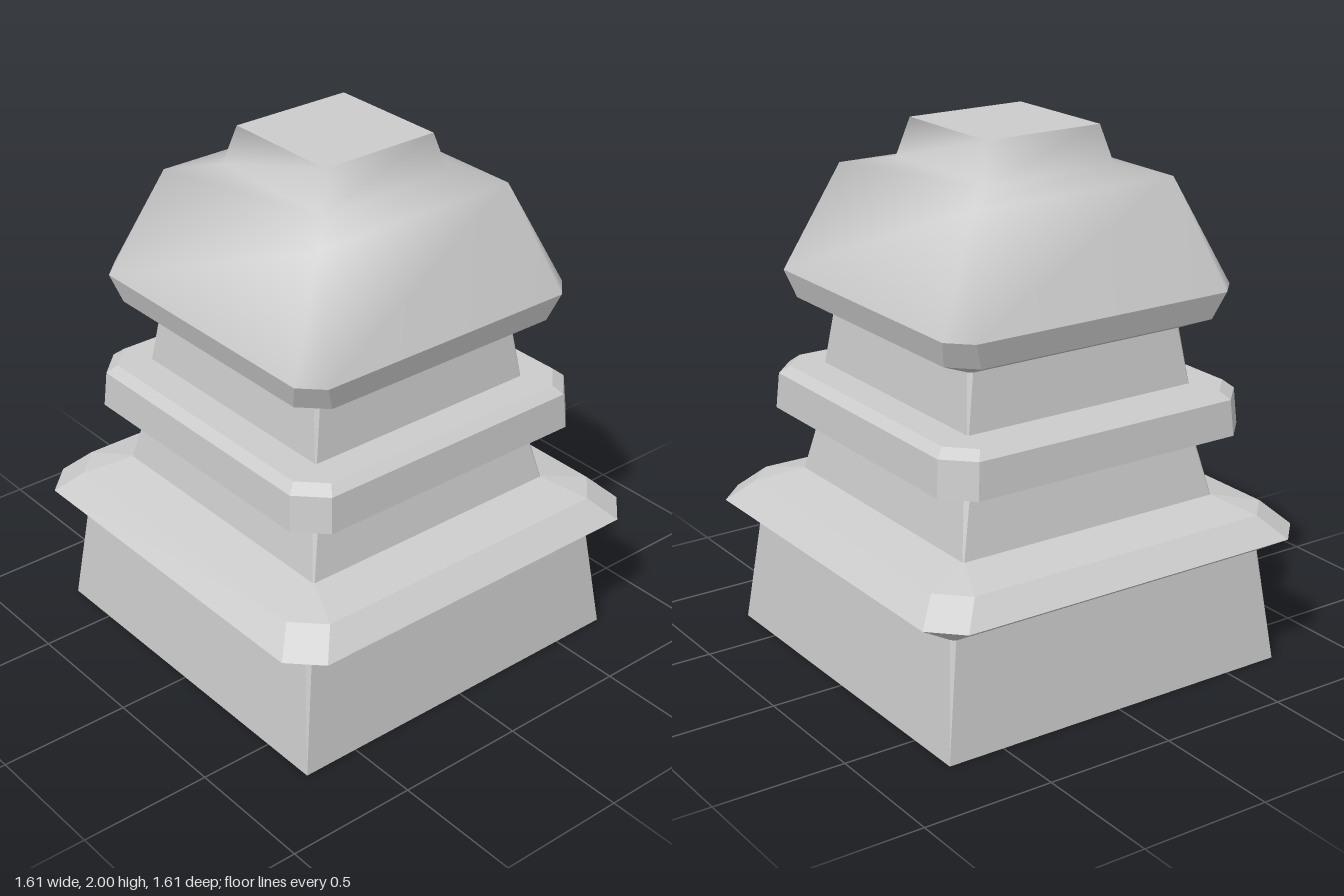
import * as THREE from 'three';
import { mergeVertices } from 'three/addons/utils/BufferGeometryUtils.js';

// Square outline with cut corners, counter-clockwise from above: [y, half width, corner cut]
function outline([y, h, c]) {
  const k = h - c;
  return [[-k, h], [k, h], [h, k], [h, -k], [k, -h], [-k, -h], [-h, -k], [-h, k]]
    .map(([x, z]) => [x, y, z]);
}

// Skin a stack of outlines; smooth shares normals between neighbouring faces
function loft(levels, smooth = false) {
  const rings = levels.map(outline);
  const pos = [];
  for (let j = 0; j < rings.length - 1; j++) {
    for (let i = 0; i < 8; i++) {
      const n = (i + 1) % 8;
      const a = rings[j][i], b = rings[j][n], c = rings[j + 1][n], d = rings[j + 1][i];
      pos.push(...a, ...b, ...c, ...a, ...c, ...d);
    }
  }
  let geo = new THREE.BufferGeometry();
  geo.setAttribute('position', new THREE.Float32BufferAttribute(pos, 3));
  if (smooth) geo = mergeVertices(geo);
  geo.computeVertexNormals();
  return geo;
}

// Flat square lid facing up or down
function lid(y, half, up) {
  const geo = new THREE.PlaneGeometry(half * 2, half * 2);
  geo.rotateX(up ? -Math.PI / 2 : Math.PI / 2);
  return geo.translate(0, y, 0);
}

export function createModel() {
  const group = new THREE.Group();
  const material = new THREE.MeshStandardMaterial({ color: 0xcccccc });
  const add = (name, geo) => {
    const mesh = new THREE.Mesh(geo, material);
    mesh.name = name;
    group.add(mesh);
  };

  // Plinth
  add('plinthUnderside', lid(0, 0.72, false));
  add('plinth', loft([[0, 0.72, 0], [0.435, 0.675, 0.015]]));

  // Wide lower eave
  add('lowerEave', loft([
    [0.435, 0.675, 0.015], [0.515, 0.805, 0.11], [0.6, 0.72, 0.105], [0.64, 0.545, 0.005],
  ]));

  // Lower tier
  add('lowerTier', loft([[0.64, 0.545, 0.005], [0.865, 0.5, 0.015]]));

  // Middle band
  add('middleBand', loft([
    [0.865, 0.5, 0.015], [0.88, 0.605, 0.09], [0.9, 0.65, 0.1],
    [1.035, 0.64, 0.1], [1.065, 0.605, 0.09], [1.065, 0.48, 0.005],
  ]));

  // Upper tier
  add('upperTier', loft([[1.065, 0.48, 0.005], [1.275, 0.455, 0.015]]));

  // Roof rim and softly shaded roof
  add('roofRim', loft([[1.275, 0.455, 0.015], [1.33, 0.58, 0.09], [1.43, 0.61, 0.08]]));
  add('roof', loft([
    [1.43, 0.61, 0.08], [1.825, 0.425, 0], [1.855, 0.278, 0], [2, 0.24, 0],
  ], true));
  add('roofTop', lid(2, 0.24, true));

  return group;
}
